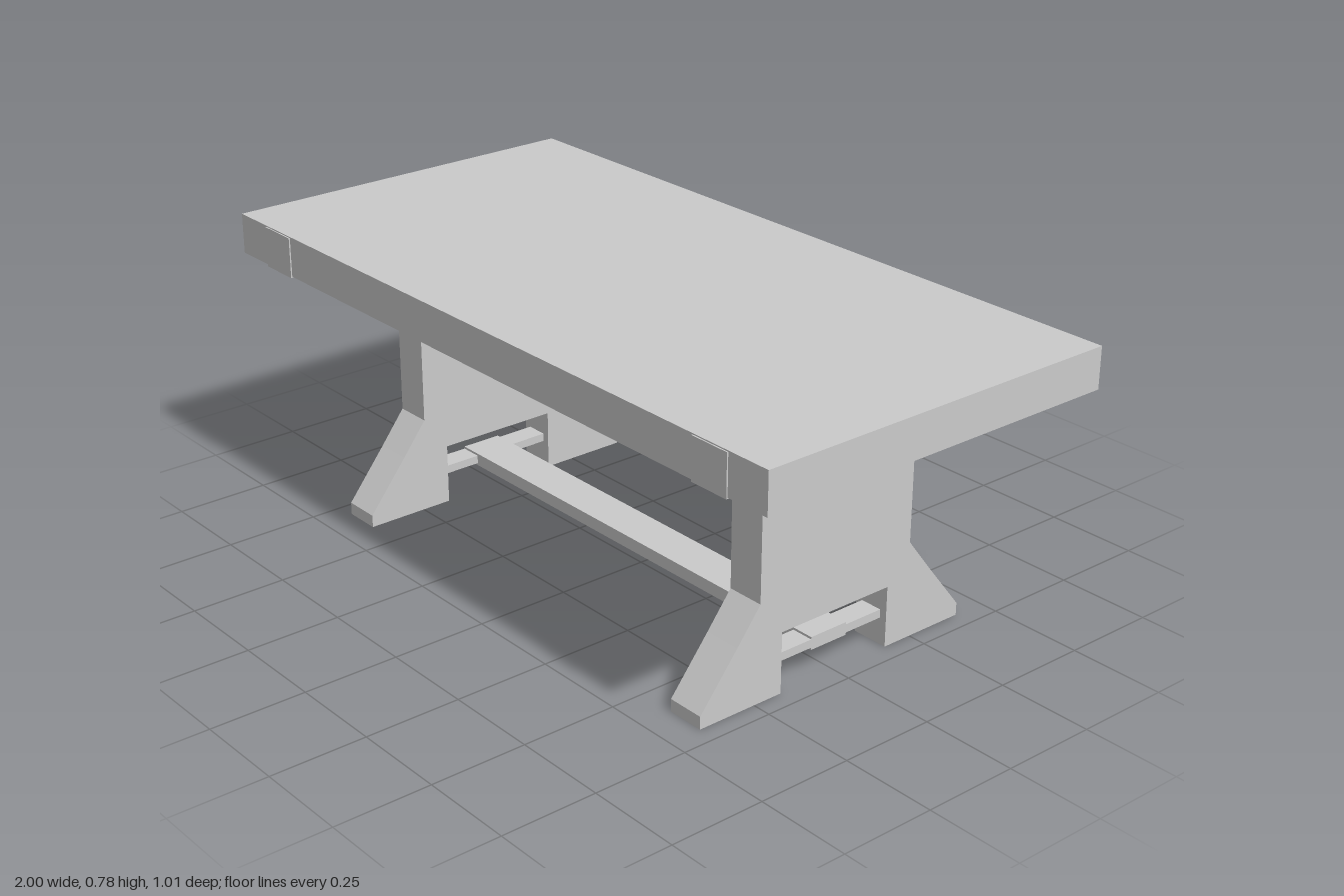
import * as THREE from 'three';

const material = new THREE.MeshStandardMaterial({ color: 0xcccccc, flatShading: true });

// Box given by its centre height, size and optional x offset
function box(name, w, h, d, y, x = 0) {
  const mesh = new THREE.Mesh(new THREE.BoxGeometry(w, h, d), material);
  mesh.name = name;
  mesh.position.set(x, y, 0);
  return mesh;
}

// Half of the trestle outline as [z, y], from the top down to the notch
const halfOutline = [
  [0.237, 0.67], [0.237, 0.255], [0.305, 0.167], [0.412, 0.033],
  [0.412, 0], [0.168, 0], [0.168, 0.16],
];

function trestle(name, x) {
  const mirrored = halfOutline.map(([z, y]) => [-z, y]).reverse();
  const shape = new THREE.Shape(
    [...halfOutline, ...mirrored].map(([z, y]) => new THREE.Vector2(z, y)));
  const thickness = 0.1;
  const geometry = new THREE.ExtrudeGeometry(shape, { depth: thickness, bevelEnabled: false });
  geometry.translate(0, 0, -thickness / 2);
  geometry.rotateY(Math.PI / 2);
  const mesh = new THREE.Mesh(geometry, material);
  mesh.name = name;
  mesh.position.x = x;
  return mesh;
}

export function createModel() {
  const table = new THREE.Group();
  table.name = 'trestleTable';

  // Thick top
  table.add(box('tableTop', 2, 0.106, 1.008, 0.724));

  for (const [side, s] of [['left', 1], ['right', -1]]) {
    // Cross band set into the top, very slightly proud at its edges and underside
    table.add(box(side + 'TopBand', 0.11, 0.106, 1.015, 0.721, s * 0.825));
    // Splayed trestle end with a notch at the floor
    table.add(trestle(side + 'Trestle', s * 0.65));
    // Small bar bridging the notch
    table.add(box(side + 'CrossBar', 0.06, 0.022, 0.336, 0.081, s * 0.65));
  }

  // Long stretcher joining the two cross bars
  table.add(box('stretcher', 1.36, 0.034, 0.112, 0.081));
  return table;
}
